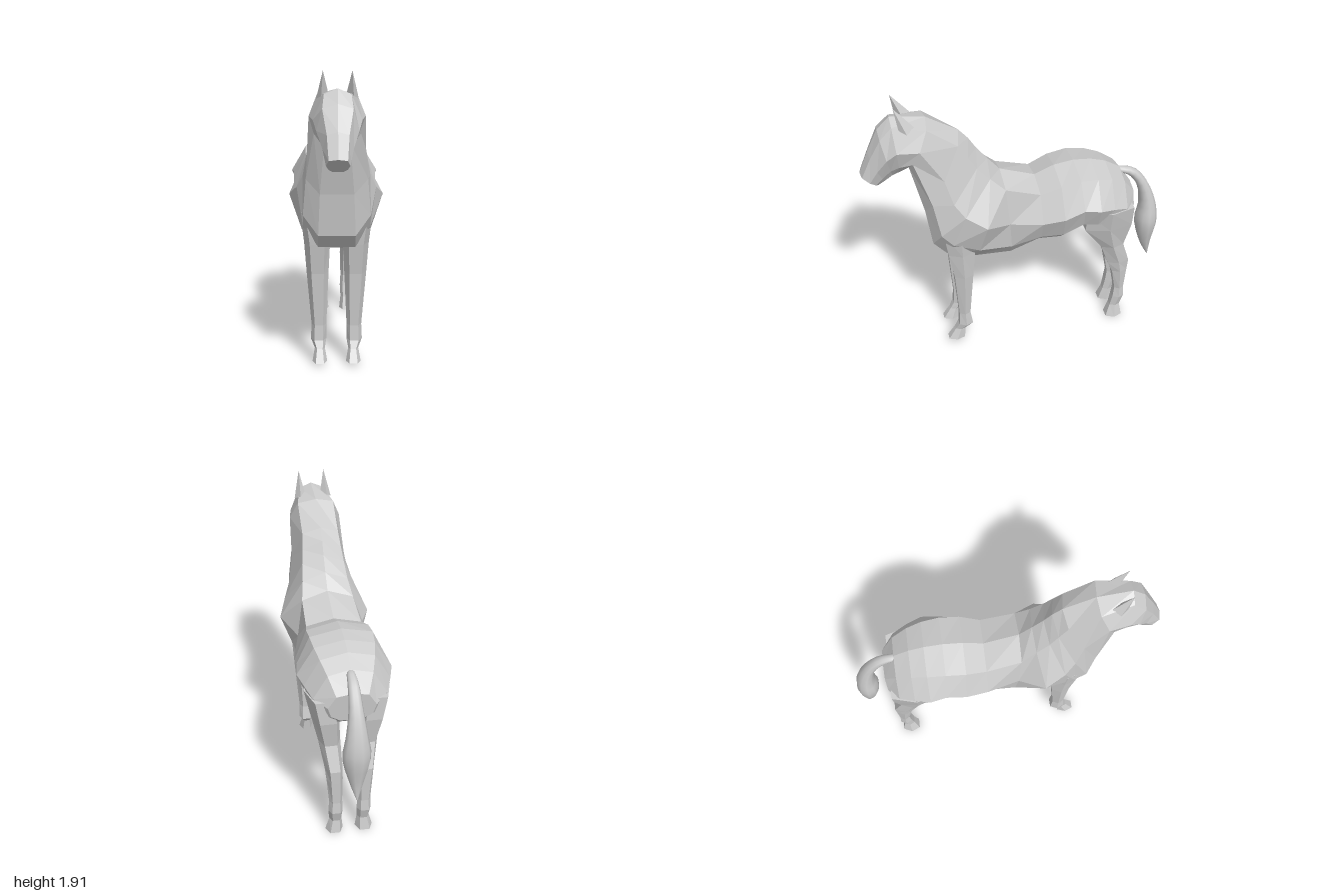
import * as THREE from 'three';

const coat = new THREE.MeshStandardMaterial({ color: 0xcccccc });
coat.name = 'greyCoat';

// Skin a list of rings (arrays of [x, y, z]) and close both ends.
function loft(name, rings, smooth = false) {
  const n = rings[0].length;
  const pos = rings.flat(2);
  const idx = [];
  for (let r = 0; r < rings.length - 1; r++) {
    for (let i = 0; i < n; i++) {
      const a = r * n + i, b = r * n + (i + 1) % n;
      idx.push(a, b, b + n, a, b + n, a + n);
    }
  }
  [0, rings.length - 1].forEach((r, end) => {
    const c = pos.length / 3;
    for (let k = 0; k < 3; k++) pos.push(rings[r].reduce((s, p) => s + p[k], 0) / n);
    for (let i = 0; i < n; i++) {
      const a = r * n + i, b = r * n + (i + 1) % n;
      if (end) idx.push(a, b, c); else idx.push(b, a, c);
    }
  });
  // Signed volume tells whether the faces point outward.
  const v = i => new THREE.Vector3().fromArray(pos, i * 3);
  let volume = 0;
  for (let i = 0; i < idx.length; i += 3) volume += v(idx[i]).dot(v(idx[i + 1]).cross(v(idx[i + 2])));
  if (volume < 0) idx.reverse();
  let geo = new THREE.BufferGeometry();
  geo.setAttribute('position', new THREE.Float32BufferAttribute(pos, 3));
  geo.setIndex(idx);
  if (!smooth) geo = geo.toNonIndexed();
  geo.computeVertexNormals();
  const mesh = new THREE.Mesh(geo, coat);
  mesh.name = name;
  return mesh;
}

// Symmetric section between a top and a bottom point on the centre plane.
function section([zt, yt, zb, yb, back, side, low]) {
  const at = (t, x) => [x, yt + (yb - yt) * t, zt + (zb - zt) * t];
  const half = [at(0.09, back), at(0.5, side), at(0.83, low), at(1, low * 0.55)];
  const other = half.map(([x, y, z]) => [-x, y, z]).reverse();
  return [at(0, 0), ...half, ...other];
}

// Six-sided leg section: height, back z, front z, inner x, outer x.
function legRing(side, [y, z0, z1, x0, x1]) {
  const zm = (z0 + z1) / 2, xm = (x0 + x1) / 2, q = (x1 - x0) * 0.28;
  return [[xm - q, z1], [xm + q, z1], [x1, zm], [xm + q, z0], [xm - q, z0], [x0, zm]]
    .map(([x, z]) => [side * x, y, z]);
}

// Top z, y, bottom z, y, then half widths at the back, side and lower side.
const trunk = [
  [-0.78, 1.1, -0.76, 0.9, 0.1, 0.15, 0.13],
  [-0.7, 1.22, -0.7, 0.85, 0.14, 0.23, 0.19],
  [-0.6, 1.28, -0.6, 0.86, 0.17, 0.27, 0.23],
  [-0.5, 1.31, -0.5, 0.87, 0.19, 0.3, 0.24],
  [-0.38, 1.32, -0.41, 0.88, 0.2, 0.285, 0.23],
  [-0.25, 1.3, -0.28, 0.79, 0.2, 0.28, 0.21],
  [-0.12, 1.245, -0.13, 0.79, 0.18, 0.255, 0.19],
  [0.11, 1.325, 0.06, 0.71, 0.17, 0.205, 0.18],
  [0.19, 1.42, 0.31, 0.735, 0.15, 0.3, 0.22],
  [0.26, 1.51, 0.5, 0.79, 0.14, 0.25, 0.21],
  [0.31, 1.59, 0.58, 0.88, 0.13, 0.21, 0.21],
  [0.37, 1.66, 0.62, 1.15, 0.12, 0.18, 0.19],
  [0.57, 1.78, 0.7, 1.48, 0.12, 0.17, 0.14],
  [0.79, 1.81, 0.755, 1.44, 0.08, 0.145, 0.11],
  [0.87, 1.73, 0.8, 1.41, 0.09, 0.125, 0.08],
  [0.94, 1.58, 0.85, 1.37, 0.065, 0.09, 0.065],
  [1.0, 1.43, 0.89, 1.34, 0.055, 0.07, 0.055],
];

const foreleg = [
  [1.0, 0.3, 0.52, 0.06, 0.23],
  [0.8, 0.315, 0.49, 0.04, 0.205],
  [0.6, 0.33, 0.455, 0.05, 0.19],
  [0.25, 0.355, 0.43, 0.065, 0.16],
  [0.15, 0.34, 0.435, 0.065, 0.165],
  [0.1, 0.39, 0.46, 0.075, 0.14],
  [0.02, 0.4, 0.51, 0.06, 0.155],
];

const hindLeg = [
  [1.03, -0.75, -0.43, 0.06, 0.27],
  [0.87, -0.75, -0.43, 0.05, 0.235],
  [0.68, -0.715, -0.56, 0.05, 0.19],
  [0.51, -0.77, -0.62, 0.045, 0.16],
  [0.42, -0.765, -0.66, 0.045, 0.15],
  [0.25, -0.755, -0.69, 0.05, 0.135],
  [0.17, -0.76, -0.68, 0.045, 0.14],
  [0.09, -0.735, -0.665, 0.05, 0.13],
  [0.0, -0.75, -0.635, 0.04, 0.155],
];

// Half width, y and z along the tail.
const tailCurve = new THREE.CatmullRomCurve3([
  [0.025, 1.2, -0.69], [0.035, 1.165, -0.79], [0.045, 1.05, -0.875], [0.07, 0.88, -0.92],
  [0.09, 0.74, -0.92], [0.045, 0.55, -0.93], [0.004, 0.43, -0.955],
].map(p => new THREE.Vector3(...p)));

// Oval tail section, square to the curve.
function tailRing(t) {
  const { x: width, y, z } = tailCurve.getPoint(t);
  const tangent = tailCurve.getTangent(t);
  const angle = Math.atan2(tangent.y, tangent.z);
  return Array.from({ length: 10 }, (_, i) => {
    const a = i / 10 * Math.PI * 2, s = Math.sin(a) * width * 0.85;
    return [Math.cos(a) * width, y + s * Math.cos(angle), z - s * Math.sin(angle)];
  });
}

export function createModel() {
  const horse = new THREE.Group();
  horse.name = 'horse';
  horse.add(loft('bodyNeckAndHead', trunk.map(section)));

  for (const [side, label] of [[1, 'left'], [-1, 'right']]) {
    horse.add(loft(label + 'Foreleg', foreleg.map(r => legRing(side, r))));
    horse.add(loft(label + 'HindLeg', hindLeg.map(r => legRing(side, r))));

    // Pointed ear
    const base = [[0.055, 1.78, 0.71], [0.095, 1.76, 0.745], [0.125, 1.74, 0.7], [0.09, 1.77, 0.65]];
    const tip = base.map(() => [0.085, 1.912, 0.77]);
    horse.add(loft(label + 'Ear', [base, tip].map(r => r.map(([x, y, z]) => [side * x, y, z]))));
  }

  // Smooth hanging tail
  const rings = Array.from({ length: 17 }, (_, i) => tailRing(i / 16));
  horse.add(loft('tail', rings, true));
  return horse;
}
